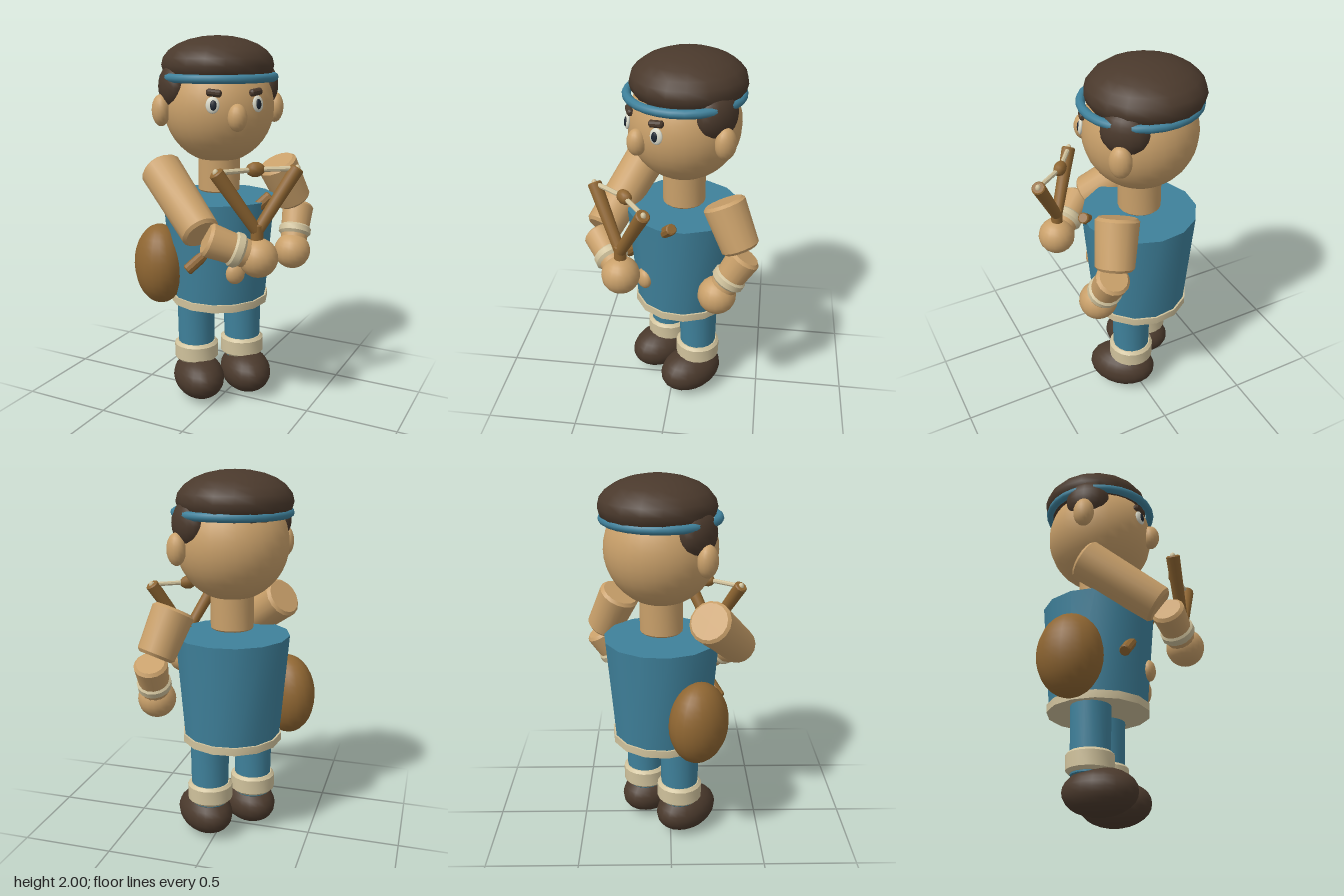
import * as THREE from 'three';
import { toCreasedNormals } from 'three/addons/utils/BufferGeometryUtils.js';

const mat = (name, color) => Object.assign(new THREE.MeshStandardMaterial({ color }), { name });

export function createModel() {
  const skin = mat('skin', 0xc9a06a);
  const blue = mat('blue cloth', 0x3f819b);
  const dark = mat('dark brown', 0x4a392c);
  const wood = mat('wood brown', 0x8f6632);
  const cream = mat('cream', 0xd0c29c);
  const white = mat('eye white', 0xd8d8c8);
  const black = mat('pupil black', 0x1c2530);

  const root = new THREE.Group();
  root.name = 'figure';
  // The trunk, legs and head look along the diagonal
  const body = new THREE.Group();
  body.name = 'body';
  body.position.set(-0.062, 0, -0.047);
  body.rotation.y = Math.PI / 4;
  root.add(body);

  const V = (p) => new THREE.Vector3(...p);
  function add(parent, name, geometry, material, pos = [0, 0, 0]) {
    const mesh = new THREE.Mesh(geometry, material);
    mesh.name = name;
    mesh.position.set(...pos);
    parent.add(mesh);
    return mesh;
  }
  function ball(parent, name, material, pos, radii, w = 20, h = 14) {
    const mesh = add(parent, name, new THREE.SphereGeometry(1, w, h), material, pos);
    mesh.scale.set(...radii);
    return mesh;
  }
  // Bevelled round bar of the given length, starting at y = 0
  function bar(r0, r1, len, bevel, sides) {
    const pts = [[0, 0], [r0 - bevel, 0], [r0, bevel], [r1, len - bevel], [r1 - bevel, len], [0, len]];
    const g = new THREE.LatheGeometry(pts.map(([x, y]) => new THREE.Vector2(x, y)), sides);
    return toCreasedNormals(g, 0.6);
  }
  // Bar running from point a to point b
  function limb(parent, name, material, a, b, r0, r1, bevel = 0.015, sides = 16) {
    const dir = V(b).sub(V(a));
    const mesh = add(parent, name, bar(r0, r1, dir.length(), bevel, sides), material, a);
    mesh.quaternion.setFromUnitVectors(new THREE.Vector3(0, 1, 0), dir.normalize());
    return mesh;
  }

  // Tunic, hem and neck
  add(body, 'tunic', toCreasedNormals(new THREE.CylinderGeometry(0.308, 0.262, 0.56, 14), 0.6), blue, [0, 0.87, 0]);
  add(body, 'hem', toCreasedNormals(new THREE.CylinderGeometry(0.273, 0.273, 0.042, 14), 0.6), cream, [0, 0.58, 0]);
  add(body, 'neck', bar(0.114, 0.114, 0.22, 0.008, 18), skin, [0, 1.18, 0]);
  ball(body, 'bellyButton', skin, [0, 0.78, 0.275], [0.053, 0.058, 0.035], 16, 12);

  // Legs, cuffs and shoes
  for (const s of [1, -1]) {
    const side = s > 0 ? 'left' : 'right';
    add(body, side + 'Leg', bar(0.1, 0.106, 0.38, 0.004, 16), blue, [s * 0.137, 0.2, 0]);
    add(body, side + 'Cuff', bar(0.123, 0.123, 0.108, 0.015, 18), cream, [s * 0.137, 0.212, 0]);
    ball(body, side + 'Shoe', dark, [s * 0.14, 0.12, 0.052], [0.138, 0.12, 0.192]);
  }

  // Head
  const head = new THREE.Group();
  head.name = 'head';
  head.position.y = 1.63;
  body.add(head);
  const R = 0.294;
  ball(head, 'skull', skin, [0, 0, 0], [R, 0.297, R], 28, 20);
  ball(head, 'nose', skin, [0, -0.03, 0.3], [0.05, 0.07, 0.05], 16, 12);
  // Places a part on the face at an angle from straight ahead
  function onFace(mesh, angle, y, lift) {
    const r = Math.sqrt(R * R - y * y) + lift;
    mesh.position.set(Math.sin(angle) * r, y, Math.cos(angle) * r);
    mesh.rotation.order = 'YXZ';
    mesh.rotation.set(-Math.asin(y / R), angle, 0);
  }
  for (const s of [1, -1]) {
    const side = s > 0 ? 'left' : 'right';
    ball(head, side + 'Ear', skin, [s * 0.318, -0.01, 0], [0.048, 0.083, 0.058], 16, 12);
    ball(head, side + 'Sideburn', dark, [s * 0.25, 0.11, 0], [0.075, 0.115, 0.122], 16, 12);
    onFace(ball(head, side + 'Eye', white, [0, 0, 0], [0.035, 0.042, 0.013], 16, 10), s * 0.42, 0.033, 0.002);
    onFace(ball(head, side + 'Pupil', black, [0, 0, 0], [0.017, 0.026, 0.008], 14, 10), s * 0.405, 0.033, 0.012);
    const brow = add(head, side + 'Brow', bar(0.019, 0.019, 0.078, 0.009, 10).translate(0, -0.039, 0), dark);
    onFace(brow, s * 0.4, 0.092, 0.004);
    brow.rotation.z = Math.PI / 2 + s * 0.12;
  }
  // Cap of hair with a headband below it
  ball(head, 'hair', dark, [0, 0.218, -0.024], [0.3, 0.152, 0.3], 18, 12);
  const band = add(head, 'headband', new THREE.TorusGeometry(0.292, 0.023, 10, 28), blue, [0, 0.158, 0]);
  band.rotation.x = Math.PI / 2;

  // Arms: shoulder, elbow, start of forearm, hand
  const arms = {
    right: [[-0.29, 1.315, 0.19], [0.06, 1.04, 0.38], [0.09, 1.025, 0.395], [0.305, 0.915, 0.24]],
    left: [[0.18, 1.315, -0.272], [0.25, 1.085, -0.375], [0.267, 1.06, -0.4], [0.29, 0.822, -0.262]],
  };
  for (const side in arms) {
    const [shoulder, elbow, start, hand] = arms[side];
    const arm = new THREE.Group();
    arm.name = side + 'Arm';
    root.add(arm);
    limb(arm, 'upperArm', skin, shoulder, elbow, 0.112, 0.1);
    limb(arm, 'forearm', skin, start, hand, 0.088, 0.07);
    const at = (t) => V(start).lerp(V(hand), t).toArray();
    limb(arm, 'wristband', cream, at(0.46), at(0.68), 0.09, 0.09, 0.015);
    ball(arm, 'hand', skin, hand, [0.101, 0.101, 0.101], 18, 14);
  }

  // Slingshot held in the right hand
  const sling = new THREE.Group();
  sling.name = 'slingshot';
  root.add(sling);
  const fork = [0.297, 1.05, 0.24], pouch = [0.272, 1.357, 0.212];
  limb(sling, 'handle', wood, [0.3, 0.83, 0.24], [0.297, 1.09, 0.24], 0.032, 0.032, 0.006, 12);
  for (const tip of [[0.143, 1.36, 0.391], [0.446, 1.36, 0.088]]) {
    limb(sling, 'prong', wood, fork, tip, 0.03, 0.037, 0.006, 12);
    const end = [tip[0], 1.357, tip[2]];
    limb(sling, 'elastic', cream, end, pouch, 0.013, 0.013, 0.003, 8);
    ball(sling, 'elasticKnot', cream, end, [0.015, 0.02, 0.015], 10, 8);
  }
  ball(sling, 'pouch', wood, pouch, [0.033, 0.038, 0.05], 10, 8).rotation.y = -Math.PI / 4;

  // Bag on the right hip and the strap crossing the chest
  ball(body, 'bag', wood, [-0.325, 0.772, -0.055], [0.142, 0.223, 0.172], 20, 16);
  limb(root, 'strap', wood, [-0.09, 0.8, 0.272], [0.255, 1.18, -0.022], 0.03, 0.03, 0.006, 10);

  return root;
}
